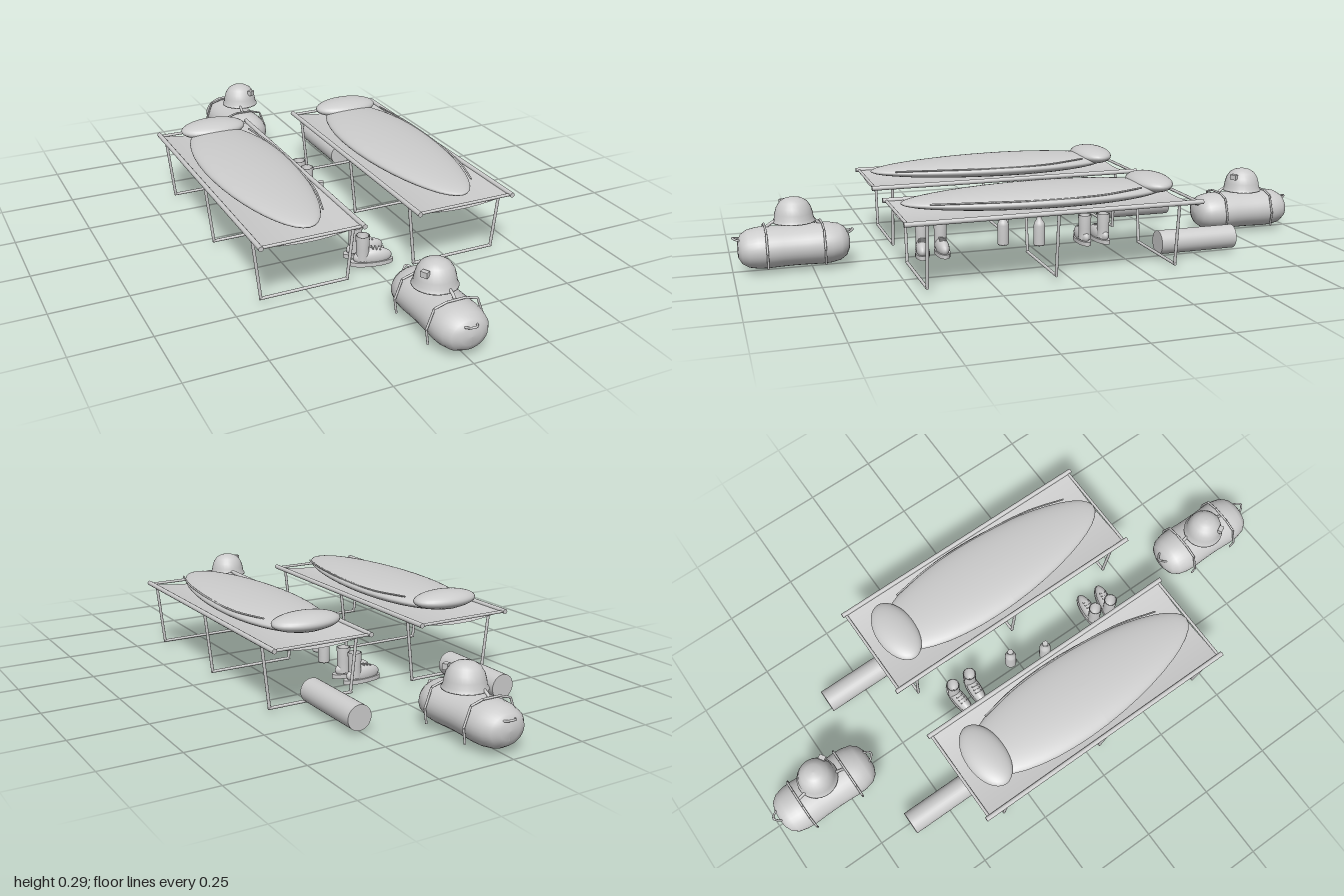
import * as THREE from 'three';

const grey = new THREE.MeshStandardMaterial({ color: 0xcccccc, side: THREE.DoubleSide });
grey.name = 'plain grey';

const V = (x, y, z) => new THREE.Vector3(x, y, z);

function add(parent, name, geometry, x = 0, y = 0, z = 0) {
  const mesh = new THREE.Mesh(geometry, grey);
  mesh.name = name;
  mesh.position.set(x, y, z);
  parent.add(mesh);
  return mesh;
}

function group(parent, name, x = 0, y = 0, z = 0, yaw = 0) {
  const g = new THREE.Group();
  g.name = name;
  g.position.set(x, y, z);
  g.rotation.y = yaw;
  parent.add(g);
  return g;
}

// Straight capped bar between two points
function bar(parent, name, a, b, r) {
  const geo = new THREE.CylinderGeometry(r, r, a.distanceTo(b), 12);
  const mesh = add(parent, name, geo);
  mesh.position.copy(a).add(b).multiplyScalar(0.5);
  mesh.quaternion.setFromUnitVectors(V(0, 1, 0), b.clone().sub(a).normalize());
  return mesh;
}

function tube(parent, name, points, r, steps = 32) {
  return add(parent, name, new THREE.TubeGeometry(new THREE.CatmullRomCurve3(points, false, 'centripetal'), steps, r, 8));
}

function ellipsoid(rx, ry, rz, w = 32, h = 20) {
  return new THREE.SphereGeometry(1, w, h).scale(rx, ry, rz);
}

function lathe(points, segments = 28) {
  return new THREE.LatheGeometry(points.map(p => new THREE.Vector2(p[0], p[1])), segments);
}

function moveVertices(geo, rule) {
  const p = geo.attributes.position;
  const v = V(0, 0, 0);
  for (let i = 0; i < p.count; i++) {
    rule(v.fromBufferAttribute(p, i));
    p.setXYZ(i, v.x, v.y, v.z);
  }
  geo.computeVertexNormals();
  return geo;
}

function buildCot(parent, x) {
  const cot = group(parent, 'cot', x);
  // Side rails and end bars
  for (const s of [-1, 1]) {
    bar(cot, 'sideRail', V(s * 0.167, 0.219, -0.437), V(s * 0.167, 0.219, 0.53), 0.008);
  }
  for (const z of [-0.425, 0.518]) bar(cot, 'endBar', V(-0.167, 0.217, z), V(0.167, 0.217, z), 0.005);

  // Sagging canvas
  const canvas = new THREE.PlaneGeometry(0.334, 0.94, 16, 4).rotateX(-Math.PI / 2);
  moveVertices(canvas, v => { v.y = -0.018 * (1 - (v.x / 0.167) ** 2); });
  add(cot, 'canvas', canvas, 0, 0.219, 0.046);

  // Three U-shaped leg frames
  for (const z of [-0.355, 0.05, 0.46]) {
    for (const s of [-1, 1]) bar(cot, 'leg', V(s * 0.167, 0.219, z), V(s * 0.144, 0.014, z), 0.005);
    bar(cot, 'footBar', V(-0.148, 0.014, z), V(0.148, 0.014, z), 0.005);
  }

  // Sleeping bag, narrower toward the foot
  const bag = moveVertices(ellipsoid(1, 1, 1, 40, 28), v => {
    const t = v.z;
    v.x *= 0.144 * (1 - 0.15 * t);
    v.y *= 0.034 * (1 - 0.12 * t);
    v.z = 0.44 * t;
  });
  add(cot, 'sleepingBag', bag, -0.002, 0.243, 0.065);
  // Zip along one side
  tube(cot, 'zip', [V(0.105, 0.264, -0.25), V(0.131, 0.256, -0.1), V(0.131, 0.254, 0.1),
    V(0.11, 0.255, 0.3), V(0.075, 0.252, 0.43)], 0.003);
  add(cot, 'pillow', ellipsoid(0.116, 0.03, 0.068), -0.002, 0.26, -0.323);

  // Rolled mat stowed behind the head end
  const roll = new THREE.CylinderGeometry(0.04, 0.04, 0.275, 32).rotateX(Math.PI / 2);
  add(cot, 'rolledMat', roll, 0, 0.048, -0.498);
}

function buildHelmet(parent, x, z, yaw) {
  const helmet = group(parent, 'helmet', x, 0.148, z, yaw);
  add(helmet, 'helmetShell', lathe([[0.061, 0.004], [0.069, 0], [0.0685, 0.003], [0.063, 0.012], [0.061, 0.028],
    [0.055, 0.048], [0.044, 0.065], [0.028, 0.075], [0.012, 0.079], [0, 0.08]]));
  add(helmet, 'headLamp', new THREE.BoxGeometry(0.022, 0.018, 0.016), 0, 0.055, 0.058);
}

function buildDuffel(parent, z, yaw) {
  const duffel = group(parent, 'duffelBag', 0, 0, z, yaw);
  const half = [[0, -0.178], [0.4, -0.176], [0.7, -0.165], [0.89, -0.145], [0.98, -0.115], [1, -0.085], [0.975, -0.04]];
  const profile = [...half, [0.965, 0], ...half.slice().reverse().map(([r, y]) => [r, -y])];
  const body = lathe(profile, 36).rotateX(Math.PI / 2).scale(0.084, 0.067, 1);
  body.computeVertexNormals();
  add(duffel, 'duffelBody', body, 0, 0.072, 0);
  for (const s of [-1, 1]) {
    // Compression straps with loose ends
    const half = [[0.085, 0.022], [0.092, 0.07], [0.07, 0.13], [0.03, 0.142]];
    const path = [...half, ...half.slice().reverse().map(([x, y]) => [-x, y])];
    for (let i = 1; i < path.length; i++) {
      bar(duffel, 'strap', V(...path[i - 1], s * 0.09), V(...path[i], s * 0.09), 0.0035);
    }
    // End handles
    tube(duffel, 'endHandle', [V(-0.022, 0.102, s * 0.165), V(-0.012, 0.106, s * 0.182), V(0, 0.11, s * 0.191),
      V(0.012, 0.106, s * 0.182), V(0.022, 0.102, s * 0.165)], 0.0035, 16);
  }
  // Carry handle
  tube(duffel, 'carryHandle', [V(0, 0.134, -0.09), V(0, 0.152, -0.065), V(0, 0.16, -0.03), V(0, 0.16, 0.03),
    V(0, 0.152, 0.065), V(0, 0.134, 0.09)], 0.005);
}

// Boot with its toe along +x
function buildBoot(parent, x, z, yaw) {
  const boot = group(parent, 'boot', x, 0, z, yaw);
  const sole = new THREE.CylinderGeometry(1, 1, 0.014, 28).scale(0.072, 1, 0.025);
  add(boot, 'sole', sole, 0, 0.009, 0);
  add(boot, 'bootFoot', ellipsoid(0.064, 0.03, 0.022, 24, 16), 0.003, 0.027, 0);
  add(boot, 'bootShaft', lathe([[0.022, 0.02], [0.021, 0.06], [0.023, 0.105], [0.019, 0.105], [0.017, 0.06], [0, 0.055]], 20),
    -0.03, 0, 0);
  for (let i = 0; i < 3; i++) {
    const lace = new THREE.BoxGeometry(0.004, 0.004, 0.024);
    add(boot, 'lace', lace, 0.002 + i * 0.012, 0.058 - i * 0.002, 0);
  }
}

function buildBottle(parent, x, z) {
  const bottle = group(parent, 'bottle', x, 0, z);
  add(bottle, 'bottleBody', lathe([[0, 0.005], [0.018, 0.005], [0.02, 0.009], [0.02, 0.075], [0.017, 0.086],
    [0.009, 0.098], [0.008, 0.106]], 24));
  add(bottle, 'bottleCap', new THREE.CylinderGeometry(0.01, 0.01, 0.014, 20), 0, 0.111, 0);
}

export function createModel() {
  const model = new THREE.Group();
  model.name = 'campSleepingArea';
  for (const x of [-0.262, 0.262]) buildCot(model, x);

  // Duffel bags with helmets at both ends of the aisle
  buildDuffel(model, 0.805, 0);
  buildDuffel(model, -0.805, Math.PI);
  buildHelmet(model, -0.012, 0.8, Math.atan2(-0.056, 0.03));
  buildHelmet(model, 0.021, -0.805, Math.atan2(0.035, 0.057));

  // Boots facing each owner's cot
  buildBoot(model, 0.012, 0.318, -0.06);
  buildBoot(model, 0.006, 0.385, -0.2);
  buildBoot(model, 0.01, -0.187, Math.PI - 0.06);
  buildBoot(model, 0.01, -0.252, Math.PI + 0.08);

  buildBottle(model, 0.02, -0.025);
  buildBottle(model, -0.025, 0.092);
  return model;
}
